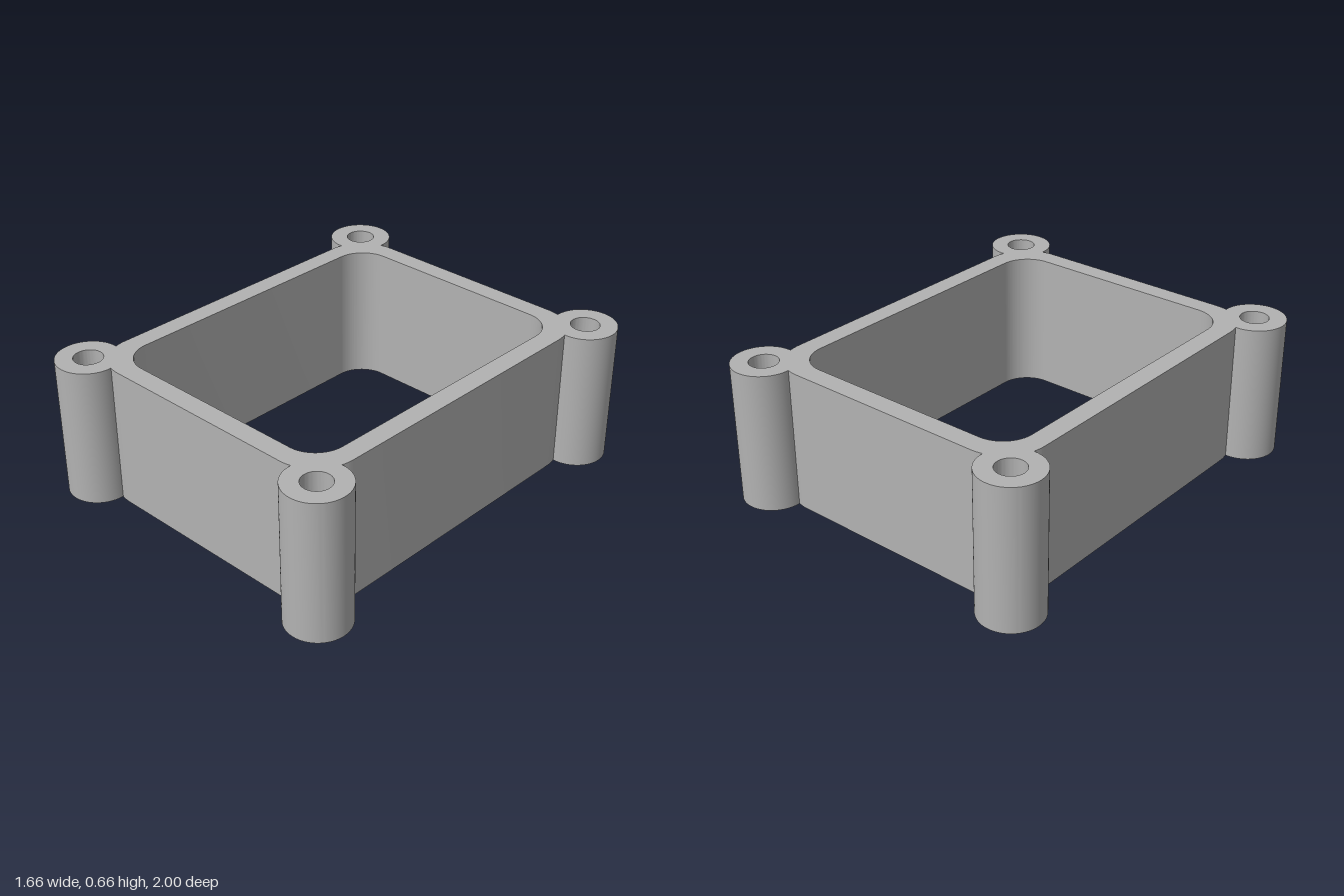
import * as THREE from 'three';
import { toCreasedNormals } from 'three/addons/utils/BufferGeometryUtils.js';

const HEIGHT = 0.657;
const X = 0.683, Z = 0.855;            // outer wall faces, also the boss centres
const WALL = 0.094;
const OUTER_R = 0.2, INNER_R = 0.145;  // wall corner radii
const BOSS_R = 0.145, HOLE_R = 0.066;

// Corners in counter-clockwise order: sign of x, sign of z, start angle
const CORNERS = [[1, 1, 0], [-1, 1, 1], [-1, -1, 2], [1, -1, 3]]
  .map(([sx, sz, n]) => ({ sx, sz, start: n * Math.PI / 2 }));

export function createModel() {
  const grey = new THREE.MeshStandardMaterial({ color: 0xb2b2b2 });
  grey.name = 'plain grey';

  // Where the rounded wall corner meets the round boss
  const d = OUTER_R * Math.SQRT2;
  const wallHalf = Math.acos((d * d + OUTER_R ** 2 - BOSS_R ** 2) / (2 * d * OUTER_R));
  const bossHalf = Math.acos((d * d + BOSS_R ** 2 - OUTER_R ** 2) / (2 * d * BOSS_R));

  // Outer outline: wall corner, boss, wall corner, four times round
  const outline = new THREE.Shape();
  const opening = new THREE.Path();
  for (const { sx, sz, start } of CORNERS) {
    const mid = start + Math.PI / 4;
    const ax = sx * (X - OUTER_R), az = sz * (Z - OUTER_R);
    outline.absarc(ax, az, OUTER_R, start, mid - wallHalf, false);
    outline.absarc(sx * X, sz * Z, BOSS_R, mid - Math.PI + bossHalf, mid + Math.PI - bossHalf, false);
    outline.absarc(ax, az, OUTER_R, mid + wallHalf, start + Math.PI / 2, false);

    // Rounded corner of the central opening
    opening.absarc(sx * (X - WALL - INNER_R), sz * (Z - WALL - INNER_R), INNER_R,
      start, start + Math.PI / 2, false);

    // Screw hole
    const hole = new THREE.Path();
    hole.absarc(sx * X, sz * Z, HOLE_R, 0, Math.PI * 2, false);
    outline.holes.push(hole);
  }
  outline.closePath();
  opening.closePath();
  outline.holes.push(opening);

  // Upright frame with its corner bosses
  const extruded = new THREE.ExtrudeGeometry(outline, {
    depth: HEIGHT, bevelEnabled: false, curveSegments: 32,
  });
  extruded.rotateX(-Math.PI / 2);
  const frame = new THREE.Mesh(toCreasedNormals(extruded, Math.PI / 6), grey);
  frame.name = 'frameWithCornerBosses';

  const model = new THREE.Group();
  model.name = 'spacerFrame';
  model.add(frame);
  return model;
}
